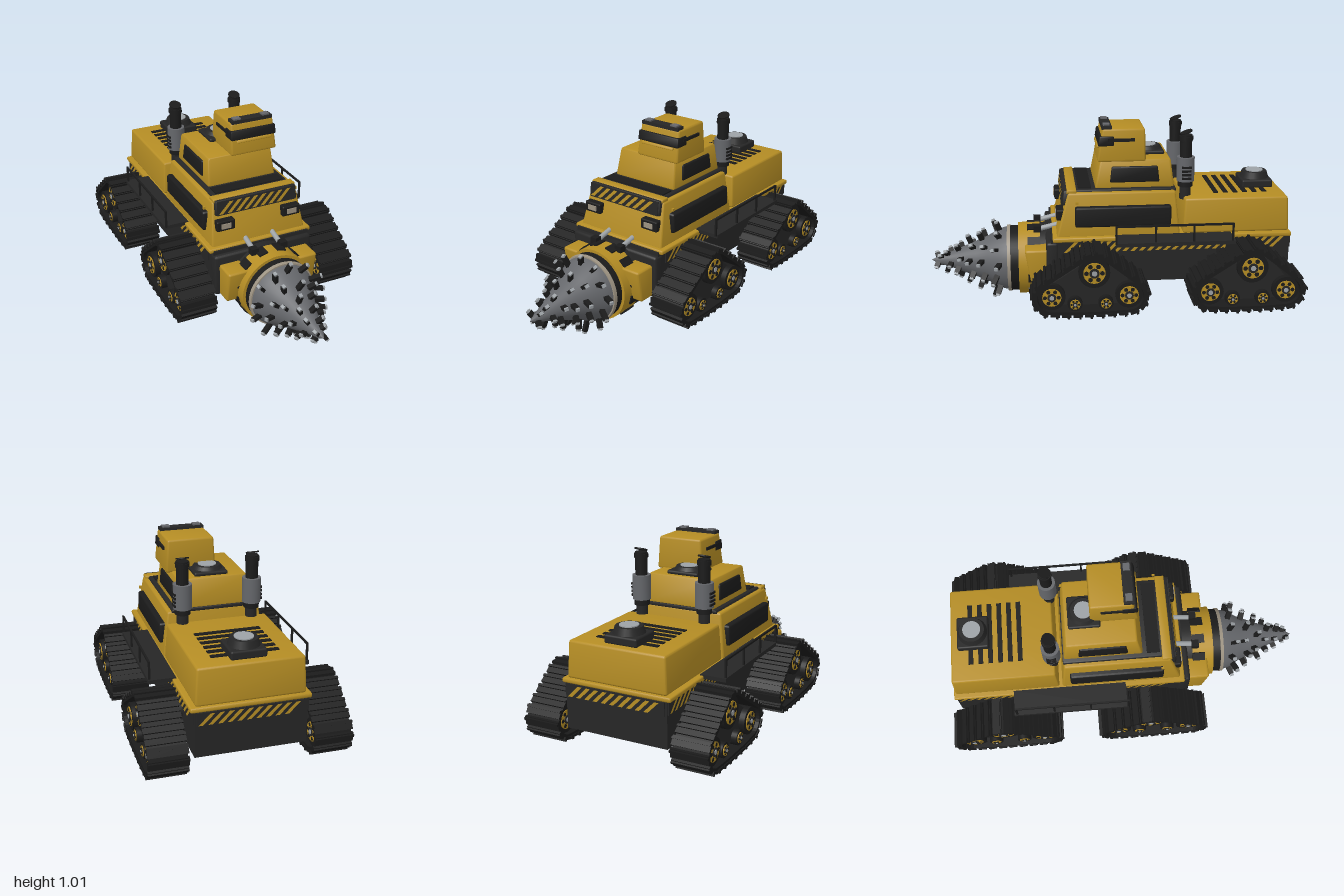
import * as THREE from 'three';
import { toCreasedNormals } from 'three/addons/utils/BufferGeometryUtils.js';
import { RoundedBoxGeometry } from 'three/addons/geometries/RoundedBoxGeometry.js';

const mat = (name, color, side = THREE.FrontSide) => {
  const m = new THREE.MeshStandardMaterial({ color, side });
  m.name = name;
  return m;
};
const yellow = mat('yellow paint', 0xb58d24);
const dark = mat('dark metal', 0x262626);
const black = mat('black rubber', 0x1b1b1b);
const steel = mat('steel', 0x65676b);
const silver = mat('silver', 0x9da2a6);
const lens = mat('lamp lens', 0x9c9281);

export function createModel() {
  const root = new THREE.Group();

  const add = (name, geo, m, x = 0, y = 0, z = 0, parent = root) => {
    const mesh = new THREE.Mesh(geo, m);
    mesh.name = name;
    mesh.position.set(x, y, z);
    parent.add(mesh);
    return mesh;
  };
  const group = (name, x = 0, y = 0, z = 0, parent = root) => {
    const g = new THREE.Group();
    g.name = name;
    g.position.set(x, y, z);
    parent.add(g);
    return g;
  };
  // Box given by its limits
  const box = (name, m, x0, x1, y0, y1, z0, z1, parent = root) =>
    add(name, new THREE.BoxGeometry(x1 - x0, y1 - y0, z1 - z0), m,
      (x0 + x1) / 2, (y0 + y1) / 2, (z0 + z1) / 2, parent);
  const both = (fn) => [-1, 1].forEach(fn);
  const cylX = (r, len, n = 24) => new THREE.CylinderGeometry(r, r, len, n).rotateZ(Math.PI / 2);
  const cylZ = (r0, r1, len, n = 48) => new THREE.CylinderGeometry(r1, r0, len, n).rotateX(Math.PI / 2);

  // Rounded block that goes from a bottom rectangle to a top one: [x0, x1, z0, z1]
  const loft = (name, m, y0, y1, bottom, top, radius = 0.012) => {
    const w = bottom[1] - bottom[0], h = y1 - y0, d = bottom[3] - bottom[2];
    const geo = new RoundedBoxGeometry(w, h, d, 2, radius);
    const p = geo.attributes.position, mix = THREE.MathUtils.lerp;
    for (let i = 0; i < p.count; i++) {
      const u = p.getX(i) / w + 0.5, t = p.getY(i) / h + 0.5, v = p.getZ(i) / d + 0.5;
      p.setXYZ(i, mix(mix(bottom[0], bottom[1], u), mix(top[0], top[1], u), t), mix(y0, y1, t),
        mix(mix(bottom[2], bottom[3], v), mix(top[2], top[3], v), t));
    }
    return add(name, toCreasedNormals(geo, 0.6), m);
  };

  // Dark band with slanted yellow stripes, facing +z
  const hazard = (name, w, h, n, x, y, z, turn = 0) => {
    const g = group(name, x, y, z);
    g.rotation.y = turn;
    add('band', new THREE.BoxGeometry(w, h, 0.008), dark, 0, 0, 0, g);
    const step = (w - h) / n, s = step * 0.5, k = h * 0.42;
    for (let i = 0; i < n; i++) {
      const a = -w / 2 + h * 0.08 + i * step;
      const shape = new THREE.Shape([[a, -k], [a + s, -k], [a + s + h * 0.84, k], [a + h * 0.84, k]]
        .map(([px, py]) => new THREE.Vector2(px, py)));
      add('stripe', new THREE.ShapeGeometry(shape), yellow, 0, 0, 0.006, g);
    }
    return g;
  };

  // Chassis and decks
  box('chassis', dark, -0.28, 0.28, 0.17, 0.42, -0.945, 0.34);
  loft('frontFrame', dark, 0.165, 0.40, [-0.285, 0.285, 0.3, 0.365], [-0.285, 0.285, 0.3, 0.365], 0.015);
  loft('fenderDeck', yellow, 0.405, 0.43, [-0.3, 0.3, -0.95, 0.33], [-0.3, 0.3, -0.95, 0.33], 0.008);
  both((s) => {
    hazard('sideHazard', 1.22, 0.07, 26, s * 0.284, 0.375, -0.33, s * Math.PI / 2);
    box('sideDeck', dark, s * 0.35 - 0.07, s * 0.35 + 0.07, 0.415, 0.435, -0.62, 0);
    const rail = group('handrail');
    box('topRail', black, s * 0.412 - 0.005, s * 0.412 + 0.005, 0.52, 0.53, -0.61, 0.01, rail);
    for (const z of [-0.605, -0.4, -0.2, 0.005])
      box('railPost', black, s * 0.412 - 0.005, s * 0.412 + 0.005, 0.43, 0.53, z - 0.005, z + 0.005, rail);
  });
  hazard('rearHazard', 0.54, 0.07, 10, 0, 0.37, -0.949, Math.PI);

  // Rear engine hood with slots and fan
  loft('engineHood', yellow, 0.43, 0.62, [-0.275, 0.275, -0.94, -0.365], [-0.265, 0.265, -0.93, -0.375]);
  for (let i = 0; i < 6; i++)
    box('hoodSlot', black, -0.17, 0.17, 0.615, 0.625, -0.835 + i * 0.053, -0.81 + i * 0.053);
  const hatch = (name, y, z, k) => {
    const g = group(name, 0, y, z);
    add('hatchBase', new RoundedBoxGeometry(0.18, 0.045 * k, 0.17, 2, 0.01), dark, 0, 0.02 * k, 0, g);
    add('hatchRing', new THREE.CylinderGeometry(0.068, 0.08, 0.035 * k, 24), dark, 0, 0.06 * k, 0, g);
    add('hatchCap', new THREE.CylinderGeometry(0.048, 0.048, 0.006, 24), silver, 0, 0.08 * k, 0, g);
  };
  hatch('hoodFan', 0.62, -0.805, 1);
  hatch('roofHatch', 0.82, -0.2, 0.5);

  // Lower cab
  loft('lowerCab', yellow, 0.42, 0.66, [-0.275, 0.275, -0.35, 0.31], [-0.245, 0.245, -0.325, 0.245]);
  loft('sideWindow', black, 0.48, 0.59, [-0.285, 0.285, -0.3, 0.21], [-0.283, 0.283, -0.3, 0.21]);
  loft('cabRoofFrame', dark, 0.652, 0.672, [-0.225, 0.225, -0.33, 0.235], [-0.22, 0.22, -0.33, 0.235], 0.006);
  box('roofPanel', black, -0.2, 0.2, 0.67, 0.678, 0.12, 0.19);
  loft('roofLip', yellow, 0.655, 0.675, [-0.24, 0.24, 0.2, 0.255], [-0.24, 0.24, 0.2, 0.25], 0.005);
  loft('frontBandMount', dark, 0.59, 0.67, [-0.24, 0.24, 0.2, 0.277], [-0.235, 0.235, 0.2, 0.268], 0.008);
  const band = hazard('frontHazard', 0.46, 0.076, 8, 0, 0.63, 0.274);
  band.rotation.x = -0.11;
  both((s) => {
    add('headlightHousing', new RoundedBoxGeometry(0.105, 0.058, 0.05, 2, 0.008), black, s * 0.193, 0.54, 0.283);
    add('headlightLens', new THREE.BoxGeometry(0.055, 0.028, 0.006), lens, s * 0.193, 0.54, 0.31);
    add('sideMarker', new THREE.BoxGeometry(0.01, 0.015, 0.015), yellow, s * 0.272, 0.613, 0.2);
  });

  // Upper cab
  loft('upperCab', yellow, 0.665, 0.822, [-0.2, 0.2, -0.325, 0.1], [-0.185, 0.185, -0.305, 0.07]);
  loft('upperWindow', black, 0.70, 0.785, [-0.204, 0.204, -0.245, 0.02], [-0.198, 0.198, -0.235, 0.01], 0.008);

  // Offset lookout turret
  loft('turret', yellow, 0.815, 0.99, [-0.058, 0.212, -0.17, 0.088], [-0.047, 0.2, -0.165, 0.058]);
  loft('turretWindow', black, 0.9, 0.952, [-0.055, 0.21, 0.0, 0.083], [-0.053, 0.208, 0.0, 0.075], 0.006);
  loft('turretVisor', yellow, 0.885, 0.9, [-0.025, 0.18, 0.02, 0.09], [-0.025, 0.18, 0.02, 0.085], 0.004);
  box('turretSlit', black, -0.058, 0.214, 0.924, 0.94, -0.11, 0.03);
  box('lightBar', dark, -0.042, 0.195, 0.985, 1.004, 0.01, 0.062);
  for (const x of [-0.008, 0.16])
    box('barLamp', steel, x - 0.02, x + 0.02, 1.004, 1.012, 0.02, 0.055);

  // Exhaust stacks
  both((s) => {
    const g = group('exhaustStack', s * 0.183, 0, -0.385);
    const tube = (name, m, r, y0, y1) =>
      add(name, new THREE.CylinderGeometry(r, r, y1 - y0, 20), m, 0, (y0 + y1) / 2, 0, g);
    tube('stackFoot', dark, 0.03, 0.6, 0.69);
    tube('lowerCollar', black, 0.04, 0.67, 0.7);
    tube('muffler', steel, 0.048, 0.7, 0.83);
    tube('pipe', black, 0.032, 0.83, 0.95);
    tube('pipeRim', black, 0.037, 0.92, 0.942);
    for (let i = 0; i < 4; i++)
      add('mufflerSlot', new THREE.BoxGeometry(0.012, 0.012, 0.05), black, s * 0.043, 0.72 + i * 0.02, 0, g);
    const flap = add('rainFlap', new THREE.CylinderGeometry(0.033, 0.033, 0.007, 20), black, 0, 0.963, 0, g);
    flap.rotation.x = 0.35;
  });

  // Drill mount
  both((s) => {
    loft('drillBracket', yellow, 0.17, 0.35, [s * 0.2 - 0.06, s * 0.2 + 0.06, 0.33, 0.45],
      [s * 0.2 - 0.06, s * 0.2 + 0.06, 0.33, 0.48]);
    const ram = add('hydraulicRam', new THREE.CylinderGeometry(0.014, 0.014, 0.13, 12), silver, s * 0.08, 0.425, 0.35);
    ram.rotation.x = 1.8;
    box('ramClevis', black, s * 0.085 - 0.02, s * 0.085 + 0.02, 0.4, 0.435, 0.39, 0.43);
  });
  const drill = group('drill', 0, 0.22, 0);
  add('mountDrum', cylZ(0.195, 0.195, 0.15), dark, 0, 0, 0.385, drill);
  add('mountCollar', cylZ(0.2, 0.198, 0.12), yellow, 0, 0, 0.455, drill);
  for (let i = 0; i < 12; i++) {
    const arm = group('collarClamp', 0, 0, 0.43, drill);
    arm.rotation.z = (i + 0.5) * Math.PI / 6;
    add('clampBlock', new THREE.BoxGeometry(0.05, 0.02, 0.07), black, 0, 0.196, 0, arm);
  }
  add('drillNeck', cylZ(0.182, 0.182, 0.06), black, 0, 0, 0.54, drill);
  add('drillRim', cylZ(0.187, 0.184, 0.018), lens, 0, 0, 0.568, drill);

  // Drill cone with rings of cutting teeth
  const profile = [[0.178, 0.572], [0.165, 0.62], [0.13, 0.68], [0.1, 0.75], [0.068, 0.83], [0.04, 0.9], [0.022, 0.96], [0, 1]];
  add('drillCone', new THREE.LatheGeometry(profile.map(([r, z]) => new THREE.Vector2(r, z)), 40).rotateX(Math.PI / 2),
    steel, 0, 0, 0, drill);
  const rings = [[0.63, 0.17, 13, 0.085], [0.71, 0.128, 10, 0.07], [0.775, 0.1, 8, 0.06],
    [0.84, 0.072, 7, 0.05], [0.9, 0.05, 5, 0.04], [0.955, 0.03, 4, 0.03]];
  rings.forEach(([z, r, n, len], k) => {
    for (let i = 0; i < n; i++) {
      const spoke = group('cuttingTooth', 0, 0, 0, drill);
      spoke.rotation.z = (i / n) * Math.PI * 2 + k * 0.5;
      const tooth = group('tooth', 0, r, z + (i % 2 - 0.5) * 0.02, spoke);
      tooth.rotation.set(0.35, 0, -0.25);
      add('toothBody', new THREE.BoxGeometry(0.018, len, 0.028), black, 0, 0, 0, tooth);
      add('toothTip', new THREE.BoxGeometry(0.016, 0.014, 0.02), silver, 0, len / 2 + 0.004, 0, tooth);
    }
  });

  // Track units: wheels as [z, y, radius], wrapped by a belt
  const wheels = [[-0.02, 0.305, 0.095], [0.2, 0.178, 0.082], [-0.2, 0.178, 0.082], [0.08, 0.135, 0.045], [-0.08, 0.135, 0.045]];
  const hull = (pad) => {
    const pts = [];
    for (const [z, y, r] of wheels) for (let i = 0; i < 28; i++) {
      const a = i / 28 * Math.PI * 2;
      pts.push(new THREE.Vector2(z + Math.cos(a) * (r + pad), y + Math.sin(a) * (r + pad)));
    }
    pts.sort((a, b) => a.x - b.x || a.y - b.y);
    const half = (list) => {
      const out = [];
      for (const p of list) {
        while (out.length > 1 && out.at(-1).clone().sub(out.at(-2)).cross(p.clone().sub(out.at(-1))) <= 0) out.pop();
        out.push(p);
      }
      return out.slice(0, -1);
    };
    return [...half(pts), ...half(pts.reverse())];
  };
  const slab = (outer, inner, width) => {
    const shape = new THREE.Shape(outer);
    if (inner) shape.holes.push(new THREE.Path(inner));
    return new THREE.ExtrudeGeometry(shape, { depth: width, bevelEnabled: false, steps: 1 })
      .translate(0, 0, -width / 2).rotateY(-Math.PI / 2);
  };
  const beltGeo = slab(hull(0.008), hull(-0.008), 0.19);
  const frameGeo = slab(hull(-0.03), null, 0.09);
  const outline = new THREE.Path([...hull(0.012), hull(0.012)[0]]);
  const padCount = 25;
  const padGeo = new THREE.BoxGeometry(0.2, 0.014, 0.047);
  const ridgeGeo = new THREE.BoxGeometry(0.2, 0.014, 0.012);

  both((s) => [0.145, -0.68].forEach((z0) => {
    const unit = group('trackUnit', s * 0.412, 0, z0);
    add('trackBelt', beltGeo, black, 0, 0, 0, unit);
    add('trackFrame', frameGeo, dark, 0, 0, 0, unit);
    add('axle', cylX(0.04, 0.2), dark, -s * 0.1, 0.305, -0.02, unit);
    for (let i = 0; i < padCount; i++) {
      const p = outline.getPointAt(i / padCount), t = outline.getTangentAt(i / padCount);
      const link = group('trackPad', 0, p.y, p.x, unit);
      link.rotation.x = -Math.atan2(t.y, t.x) + Math.PI;
      add('padPlate', padGeo, black, 0, 0, 0, link);
      add('padRidge', ridgeGeo, black, 0, 0.009, 0.012, link);
    }
    wheels.forEach(([z, y, r]) => {
      const w = group('roadWheel', 0, y, z, unit);
      add('tyre', cylX(r * 0.86, 0.15), black, 0, 0, 0, w);
      add('wheelDisc', cylX(r * 0.6, 0.158), yellow, 0, 0, 0, w);
      add('wheelHub', cylX(r * 0.28, 0.166, 12), dark, 0, 0, 0, w);
      add('hubCap', cylX(r * 0.15, 0.172, 10), silver, 0, 0, 0, w);
      for (let i = 0; i < 6; i++) {
        const a = i * Math.PI / 3;
        add('wheelHole', cylX(r * 0.13, 0.161, 8), black, 0, Math.sin(a) * r * 0.43, Math.cos(a) * r * 0.43, w);
      }
    });
  }));

  return root;
}
